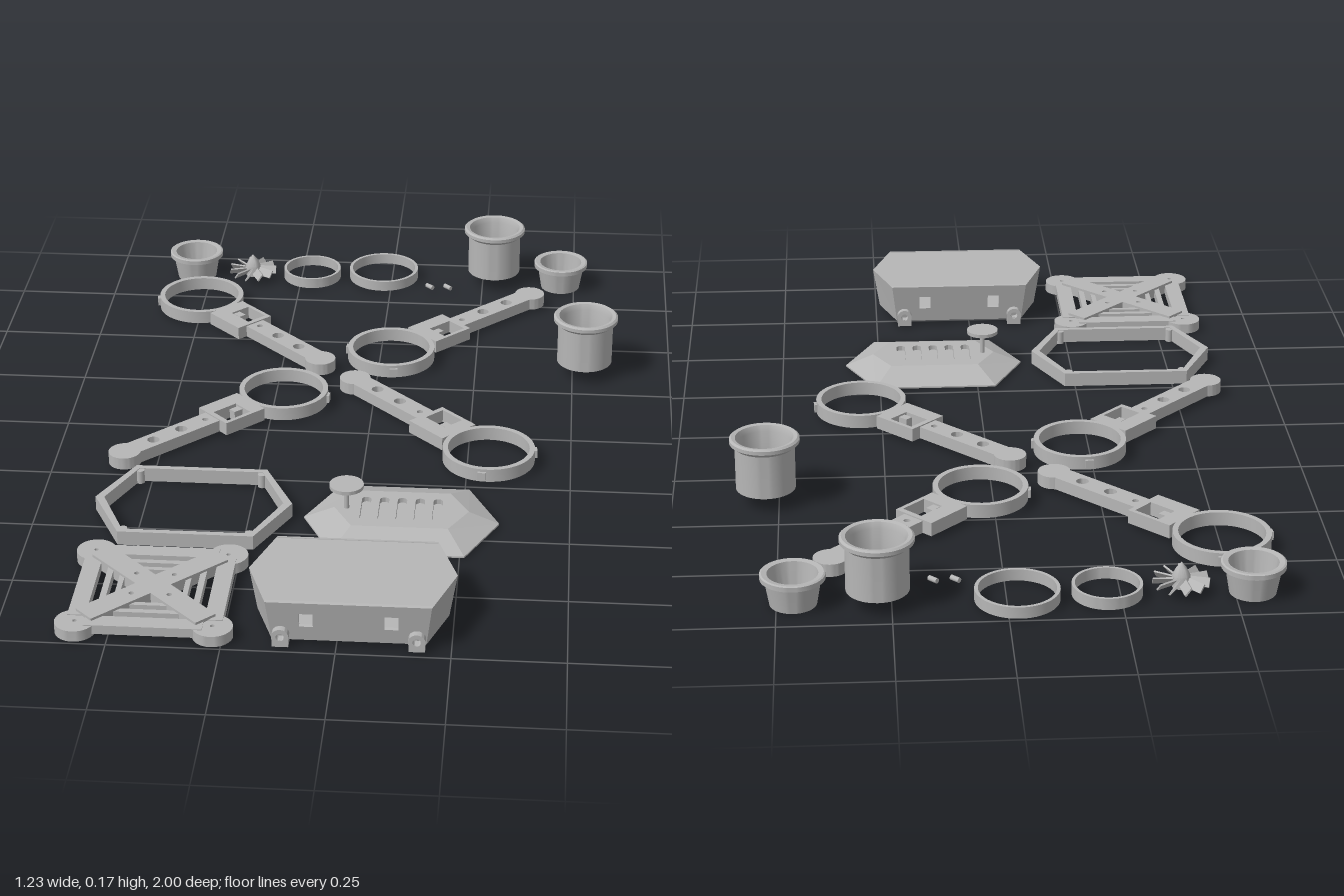
import * as THREE from 'three';
import { toCreasedNormals } from 'three/addons/utils/BufferGeometryUtils.js';

const grey = new THREE.MeshStandardMaterial({ color: 0xb6b6b6, side: THREE.DoubleSide });
grey.name = 'grey plastic';

function add(parent, name, geo, x = 0, y = 0, z = 0) {
  const m = new THREE.Mesh(geo, grey);
  m.name = name;
  m.position.set(x, y, z);
  parent.add(m);
  return m;
}
function group(parent, name, x, z, turn = 0) {
  const g = new THREE.Group();
  g.name = name;
  g.position.set(x, 0, z);
  g.rotation.y = turn;
  parent.add(g);
  return g;
}
const poly = (pts) => new THREE.Shape(pts.map(([x, y]) => new THREE.Vector2(x, y)));
const rect = (x0, x1, z0, z1) => poly([[x0, z0], [x1, z0], [x1, z1], [x0, z1]]);
const circle = (x, z, r) => new THREE.Shape().absarc(x, z, r, 0, Math.PI * 2);
const hexPts = (hx, fx, hz) => [[hx, 0], [fx, hz], [-fx, hz], [-hx, 0], [-fx, -hz], [fx, -hz]];

// Flat plate drawn in x and z, from y0 up to y1
function plate(shape, y0, y1, holes = []) {
  shape.holes.push(...holes);
  const g = new THREE.ExtrudeGeometry(shape, { depth: y1 - y0, bevelEnabled: false, curveSegments: 16 });
  return toCreasedNormals(g.rotateX(Math.PI / 2).translate(0, y1, 0), 0.6);
}
// Turned part; profile given as [radius, y]
function turned(pts, seg = 40) {
  return toCreasedNormals(new THREE.LatheGeometry(pts.map(p => new THREE.Vector2(...p)), seg), 0.6);
}
const tube = (ro, ri, y0, y1) => turned([[ri, y0], [ro, y0], [ro, y1], [ri, y1], [ri, y0]], 48);

// Six sided loft through levels [halfLength, flatHalf, halfDepth, y]
function hexLoft(levels, { skip = [], top = true, bottom = true } = {}) {
  const loops = levels.map(([hx, fx, hz, y]) => hexPts(hx, fx, hz).map(([x, z]) => [x, y, z]));
  const v = [];
  const last = loops.length - 1;
  for (let i = 0; i < 6; i++) {
    const j = (i + 1) % 6;
    for (let k = 0; k < last && !skip.includes(i); k++) {
      const a = loops[k][i], b = loops[k][j], c = loops[k + 1][j], d = loops[k + 1][i];
      v.push(...a, ...d, ...c, ...a, ...c, ...b);
    }
    if (bottom) v.push(...loops[0][i], ...loops[0][j], 0, levels[0][3], 0);
    if (top) v.push(...loops[last][j], ...loops[last][i], 0, levels[last][3], 0);
  }
  const g = new THREE.BufferGeometry();
  g.setAttribute('position', new THREE.Float32BufferAttribute(v, 3));
  g.computeVertexNormals();
  return g;
}

// Arm: fan ring, square bracket and drilled bar
function arm(root, x, z, turn, s) {
  const g = group(root, 'arm', x, z, turn);
  add(g, 'armRing', tube(0.112, 0.099, 0.01, 0.043));
  add(g, 'bracket', plate(rect(0.107, 0.228, -0.055, 0.055), 0.01, 0.043,
    [s > 0 ? rect(0.145, 0.215, -0.012, 0.045) : rect(0.145, 0.215, -0.045, 0.012)]));
  add(g, 'bracketTab', new THREE.BoxGeometry(0.03, 0.025, 0.02), 0.155, 0.026, 0.005 * s);
  const bar = new THREE.Shape();
  bar.moveTo(0.222, -0.028);
  bar.lineTo(0.47, -0.028);
  bar.absarc(0.497, 0, 0.039, -2.35, 2.35, false);
  bar.lineTo(0.47, 0.028);
  bar.lineTo(0.222, 0.028);
  add(g, 'armBar', plate(bar, 0.01, 0.04,
    [circle(0.25, 0, 0.008), circle(0.325, 0, 0.015), circle(0.41, 0, 0.015)]));
  for (const a of [0.9, -0.9]) {
    const lug = add(g, 'ringLug', new THREE.BoxGeometry(0.012, 0.02, 0.02),
      -0.112 * Math.cos(a), 0.026, 0.112 * Math.sin(a));
    lug.rotation.y = a;
  }
}

// Tall fan housing with stator vanes and a pointed hub
function housing(root, x, z) {
  const g = group(root, 'fanHousing', x, z);
  add(g, 'housingShell', turned([[0.062, 0.037], [0.07, 0.037], [0.07, 0.143], [0.077, 0.15], [0.082, 0.153],
    [0.082, 0.162], [0.077, 0.166], [0.068, 0.164], [0.062, 0.15], [0.062, 0.037]], 48));
  add(g, 'hub', turned([[0, 0.002], [0.022, 0.038], [0.022, 0.08], [0, 0.08]], 28));
  for (let i = 0; i < 7; i++) {
    const a = i / 7 * Math.PI * 2 + 0.2;
    const vane = group(g, 'vane', 0, 0, a);
    add(vane, 'vaneBlade', new THREE.BoxGeometry(0.046, 0.032, 0.005), 0.042, 0.056, 0).rotation.x = 0.2;
  }
}

// Open tapered cup
function cup(root, x, z) {
  add(group(root, 'taperedCup', x, z), 'cupShell', turned([[0.046, 0], [0.052, 0], [0.062, 0.058], [0.072, 0.062],
    [0.072, 0.073], [0.068, 0.075], [0.056, 0.073], [0.046, 0]], 48));
}

export function createModel() {
  const root = new THREE.Group();
  root.name = 'droneKit';
  const q = Math.PI / 4;

  arm(root, -0.50, -0.678, -q, -1);
  arm(root, 0.03, -0.40, q, 1);
  arm(root, -0.225, -0.148, -3 * q, -1);
  arm(root, 0.301, 0.127, 3 * q, 1);

  housing(root, 0.28, -0.903);
  housing(root, 0.53, -0.37);
  cup(root, -0.54, -0.89);
  cup(root, 0.463, -0.89);

  // Loose rings
  add(root, 'smallRing', tube(0.078, 0.071, 0.005, 0.032), -0.22, 0, -0.893);
  add(root, 'largeRing', tube(0.094, 0.086, 0.005, 0.032), -0.023, 0, -0.906);

  // Rotor with twisted blades
  const rotor = group(root, 'rotor', -0.383, -0.88);
  add(rotor, 'rotorHub', turned([[0, 0.012], [0.02, 0.012], [0.02, 0.04], [0.012, 0.056], [0, 0.072]], 24));
  for (let i = 0; i < 11; i++) {
    const b = group(rotor, 'rotorBlade', 0, 0, i / 11 * Math.PI * 2);
    add(b, 'bladePlate', new THREE.BoxGeometry(0.046, 0.004, 0.022), 0.04, 0.027, 0).rotation.x = 0.9;
  }

  // Two tiny pins
  for (const x of [0.108, 0.157]) {
    const pin = add(root, 'pin', new THREE.CylinderGeometry(0.006, 0.006, 0.024, 12), x, 0.016, -0.826);
    pin.rotation.set(0, -q, Math.PI / 2);
  }

  // Hexagonal frame with corner posts
  const frame = group(root, 'hexFrame', -0.38, 0.425);
  add(frame, 'frameWall', plate(poly(hexPts(0.232, 0.157, 0.157)), 0.003, 0.038,
    [poly(hexPts(0.211, 0.148, 0.143))]));
  for (const sx of [-1, 1]) for (const sz of [-1, 1])
    add(frame, 'framePost', new THREE.CylinderGeometry(0.01, 0.01, 0.033, 14), sx * 0.146, 0.02, sz * 0.137);

  // Vented canopy with a disc on a mast
  const lid = group(root, 'canopy', 0.108, 0.43);
  add(lid, 'canopySlope', hexLoft([[0.228, 0.153, 0.155, 0.003], [0.228, 0.153, 0.155, 0.007],
    [0.157, 0.112, 0.082, 0.036]], { top: false }));
  const vents = [-2, -1, 0, 1, 2].map(i => {
    const x = i * 0.042, p = new THREE.Path();
    p.absarc(x, 0.042, 0.011, 0, Math.PI, false);
    p.absarc(x, -0.042, 0.011, Math.PI, Math.PI * 2, false);
    p.closePath();
    return p;
  });
  add(lid, 'canopyTop', plate(poly(hexPts(0.157, 0.112, 0.082)), 0.024, 0.036, vents));
  add(lid, 'ventFloor', plate(poly(hexPts(0.15, 0.105, 0.075)), 0.012, 0.016));
  add(lid, 'mast', new THREE.CylinderGeometry(0.006, 0.006, 0.06, 16), -0.128, 0.064, 0);
  add(lid, 'mastDisc', toCreasedNormals(new THREE.CylinderGeometry(0.04, 0.04, 0.009, 36), 0.6), -0.128, 0.095, 0);

  // X shaped base plate with corner feet
  const base = group(root, 'basePlate', -0.422, 0.803);
  for (const sx of [-1, 1]) for (const sz of [-1, 1])
    add(base, 'baseFoot', plate(circle(0, 0, 0.045), 0.004, 0.03, [circle(0, 0, 0.005)]), sx * 0.151, 0, sz * 0.151);
  for (let i = 0; i < 4; i++) {
    const side = group(base, 'baseSide', 0, 0, i * Math.PI / 2);
    add(side, 'outerBar', new THREE.BoxGeometry(0.26, 0.022, 0.04), 0, 0.021, 0.151);
    add(side, 'middleBar', new THREE.BoxGeometry(0.2, 0.022, 0.014), 0, 0.021, 0.105);
    add(side, 'innerBar', new THREE.BoxGeometry(0.14, 0.022, 0.012), 0, 0.021, 0.075);
    const diag = group(base, 'baseDiagonal', 0, 0, i * Math.PI / 2 + q);
    add(diag, 'diagonalBar', plate(rect(0, 0.19, -0.028, 0.028), 0.01, 0.038,
      [circle(0.06, 0, 0.006)]));
  }

  // Hexagonal body box; front and back panels carry windows and sockets
  const body = group(root, 'bodyBox', 0.0275, 0.845);
  add(body, 'bodyShell', hexLoft([[0.212, 0.168, 0.122, 0.012], [0.229, 0.18, 0.14, 0.115]], { skip: [1, 4] }));
  const h = Math.hypot(0.103, 0.018), tilt = Math.atan2(0.018, 0.103);
  for (const turn of [0, Math.PI]) {
    const side = group(body, 'bodySide', 0, 0, turn);
    const wall = poly([[-0.168, 0], [0.168, 0], [0.18, h], [-0.18, h]]);
    for (const s of [-1, 1]) wall.holes.push(rect(s * 0.0925 - 0.015, s * 0.0925 + 0.015, 0.038, 0.074));
    const g = new THREE.ExtrudeGeometry(wall, { depth: 0.008, bevelEnabled: false });
    add(side, 'windowWall', g.translate(0, 0, -0.008).rotateX(tilt), 0, 0.012, 0.122);
    for (const s of [-1, 1]) {
      add(side, 'socket', tube(0.019, 0.009, 0, 0.045).rotateX(Math.PI / 2), s * 0.148, 0.03, 0.1);
      add(side, 'socketFoot', new THREE.BoxGeometry(0.036, 0.018, 0.04), s * 0.148, 0.013, 0.122);
    }
  }
  return root;
}
